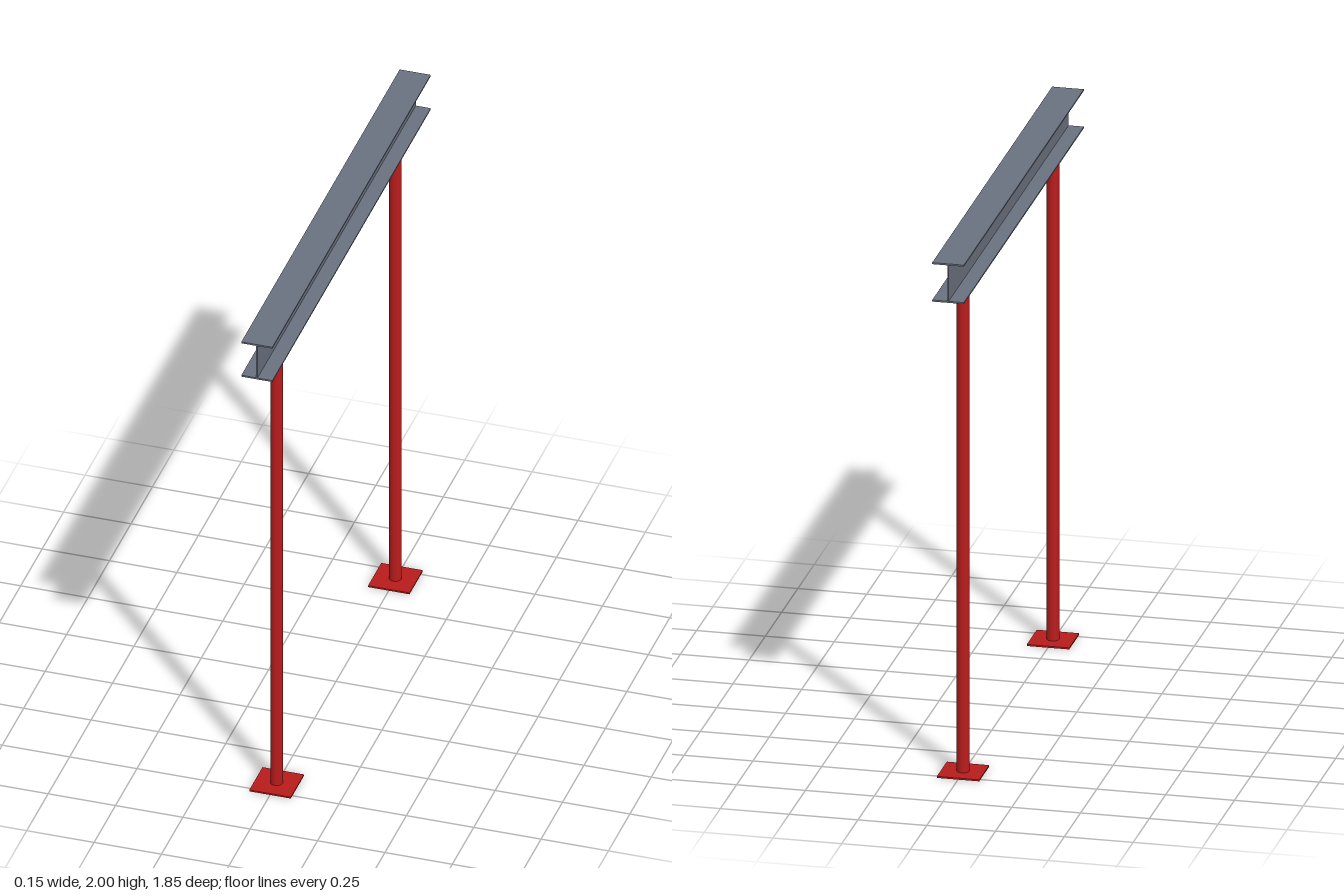
import * as THREE from 'three';

export function createModel() {
  const group = new THREE.Group();
  const steel = new THREE.MeshStandardMaterial({ color: 0x6b7280 });
  steel.name = 'grey steel';
  const red = new THREE.MeshStandardMaterial({ color: 0xb91c1c });
  red.name = 'red paint';

  const length = 1.846, height = 0.147, flangeWidth = 0.115;
  const flange = 0.006, web = 0.005, plate = 0.006;
  const bottom = 2 - height;

  // I-beam: the right half of the section, mirrored to the left
  const w = flangeWidth / 2, t = web / 2;
  const half = [[w, 0], [w, flange], [t, flange], [t, height - flange], [w, height - flange], [w, height]];
  const outline = [...half, ...half.map(([x, y]) => [-x, y]).reverse()];
  const section = new THREE.Shape(outline.map(([x, y]) => new THREE.Vector2(x, y)));
  const beam = new THREE.Mesh(
    new THREE.ExtrudeGeometry(section, { depth: length, bevelEnabled: false }), steel);
  beam.name = 'beam';
  beam.position.set(0, bottom, -length / 2);
  group.add(beam);

  // Round posts on square base plates
  for (const [side, z] of [['front', 0.692], ['back', -0.692]]) {
    const postHeight = bottom - plate;
    const post = new THREE.Mesh(new THREE.CylinderGeometry(0.0225, 0.0225, postHeight, 24), red);
    post.name = side + 'Post';
    post.position.set(0, plate + postHeight / 2, z);

    const base = new THREE.Mesh(new THREE.BoxGeometry(0.154, plate, 0.154), red);
    base.name = side + 'BasePlate';
    base.position.set(0, plate / 2, z);
    group.add(post, base);
  }
  return group;
}
